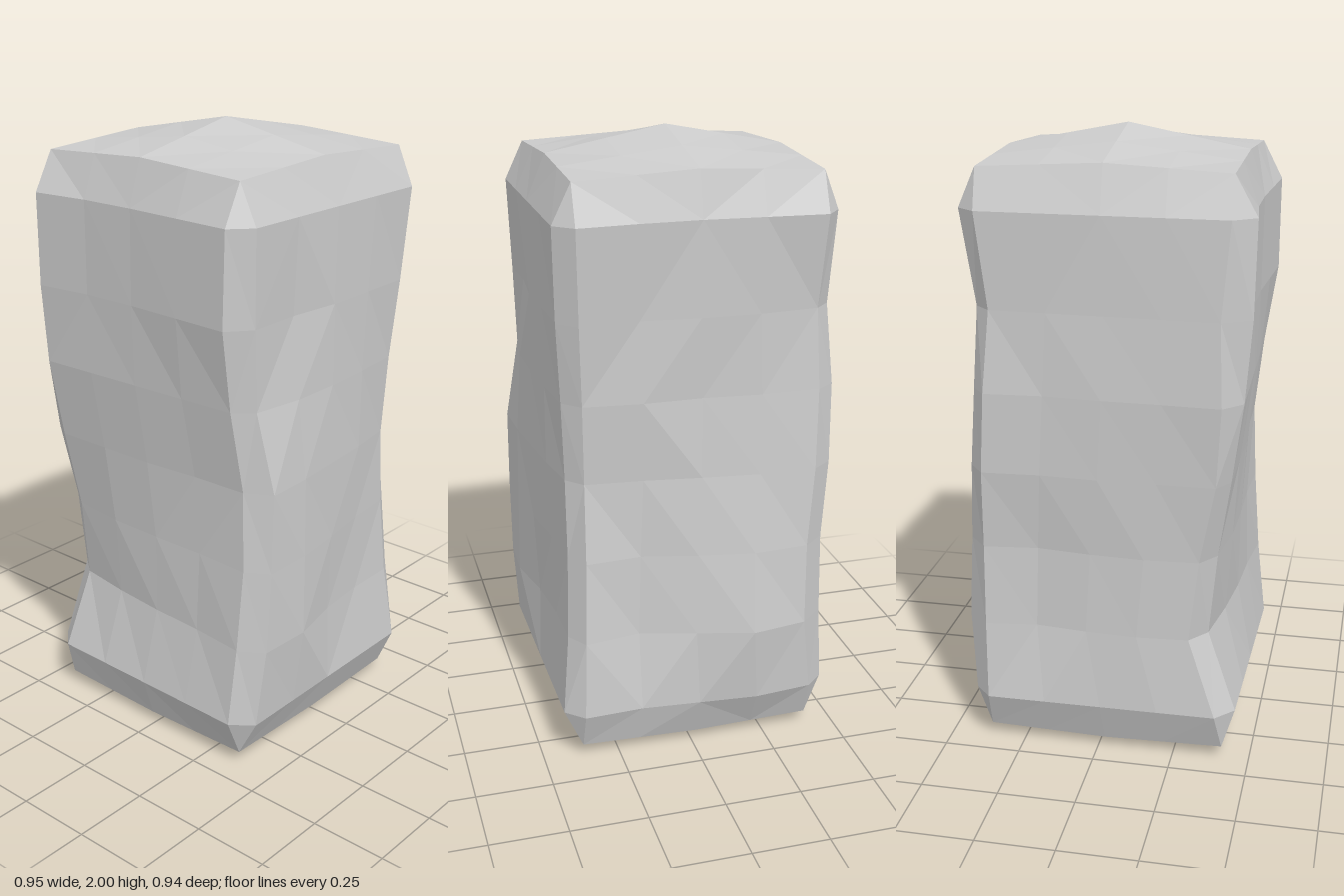
import * as THREE from 'three';

// Heights of the rings between the bottom and top chamfers
const levels = [0.17, 0.43, 0.7, 0.96, 1.22, 1.48, 1.78];

// Chamfered corners, one row per ring: [inner x, outer x, inner z, outer z]
const corners = {
  frontLeft: [
    [-.41, -.465, .37, .44], [-.385, -.435, .38, .46], [-.37, -.415, .39, .465], [-.36, -.405, .38, .465],
    [-.385, -.435, .355, .415], [-.40, -.475, .36, .42], [-.41, -.475, .37, .43]],
  frontRight: [
    [.36, .415, .37, .43], [.33, .40, .36, .405], [.305, .375, .35, .395], [.29, .345, .345, .395],
    [.305, .36, .35, .405], [.33, .385, .36, .42], [.36, .415, .37, .43]],
  backRight: [
    [.36, .415, -.40, -.46], [.365, .44, -.365, -.445], [.365, .425, -.37, -.44], [.36, .41, -.395, -.46],
    [.345, .39, -.405, -.465], [.325, .375, -.395, -.445], [.36, .42, -.405, -.455]],
  backLeft: [
    [-.39, -.45, -.39, -.455], [-.30, -.355, -.365, -.435], [-.33, -.38, -.365, -.435], [-.38, -.42, -.39, -.455],
    [-.395, -.455, -.41, -.475], [-.385, -.475, -.41, -.465], [-.41, -.48, -.405, -.46]],
};

// Outward bulge of the three inner columns of each face, ring by ring
const bulge = {
  front: [[0, 0, 0], [.02, -.005, -.01], [.015, .01, 0], [.01, .01, .01], [.025, .025, .015], [-.005, .01, .005], [0, 0, 0]],
  right: [[-.01, .005, .02], [-.04, 0, .04], [-.025, .005, .025], [0, .01, .015], [.01, 0, .01], [-.01, .01, .015], [-.015, -.02, -.01]],
  back: [[0, 0, 0], [-.02, 0, .01], [-.02, 0, .01], [-.01, 0, 0], [-.015, -.005, -.005], [0, 0, 0], [0, 0, 0]],
  left: [[0, 0, 0], [.01, .01, 0], [.015, .01, 0], [.005, .01, 0], [0, 0, 0], [-.02, -.02, -.01], [-.02, -.02, -.01]],
};

const N = 5; // points along each face
const capX = [-.41, .365], capZ = [-.405, .37];
const lerp = THREE.MathUtils.lerp;

// One ring, running front, right, back, left
function bodyRing(i) {
  const ring = [];
  const side = (name, from, to) => {
    const a = corners[from][i], b = corners[to][i];
    const alongX = name === 'front' || name === 'back';
    const sign = name === 'front' || name === 'right' ? 1 : -1;
    const [inner, outer] = alongX ? [0, 3] : [2, 1];
    const push = [0, ...bulge[name][i], 0];
    for (let k = 0; k < N; k++) {
      const t = k / (N - 1);
      const along = lerp(a[inner], b[inner], t);
      const out = lerp(a[outer], b[outer], t) + sign * push[k];
      ring.push(alongX ? [along, levels[i], out] : [out, levels[i], along]);
    }
  };
  side('front', 'frontLeft', 'frontRight');
  side('right', 'frontRight', 'backRight');
  side('back', 'backRight', 'backLeft');
  side('left', 'backLeft', 'frontLeft');
  return ring;
}

// Domed end surface, u and v in 0..1
function capPoint(u, v, top) {
  const fx = 1 - Math.abs(2 * u - 1), fz = 1 - Math.abs(2 * v - 1);
  const y = top ? 1.905 + .02 * (fx + fz) + .055 * fx * fz : .04 - .01 * (fx + fz) - .02 * fx * fz;
  return [lerp(...capX, u), y, lerp(...capZ, v)];
}

// Rim of an end, with the same point order as the body rings
function capRing(top) {
  const ring = [];
  const paths = [t => [t, 1], t => [1, 1 - t], t => [1 - t, 0], t => [0, t]];
  for (const path of paths) {
    for (let k = 0; k < N; k++) ring.push(capPoint(...path(k / (N - 1)), top));
  }
  return ring;
}

function stoneGeometry() {
  const pos = [];
  const tri = (a, b, c) => {
    const same = (p, q) => p.every((v, i) => Math.abs(v - q[i]) < 1e-6);
    if (!same(a, b) && !same(b, c) && !same(c, a)) pos.push(...a, ...b, ...c);
  };
  const dist = (p, q) => Math.hypot(p[0] - q[0], p[1] - q[1], p[2] - q[2]);
  // Split each quad along its shorter diagonal
  const quad = (a, b, c, d) => {
    if (dist(a, c) <= dist(b, d)) { tri(a, b, c); tri(a, c, d); }
    else { tri(a, b, d); tri(b, c, d); }
  };

  // Walls and chamfers
  const rings = [capRing(false), ...levels.map((_, i) => bodyRing(i)), capRing(true)];
  for (let i = 0; i < rings.length - 1; i++) {
    const lo = rings[i], hi = rings[i + 1];
    for (let k = 0; k < lo.length; k++) {
      const n = (k + 1) % lo.length;
      quad(lo[k], lo[n], hi[n], hi[k]);
    }
  }

  // Domed top and bottom
  const s = N - 1;
  for (const top of [true, false]) {
    for (let i = 0; i < s; i++) for (let j = 0; j < s; j++) {
      const p = (a, b) => capPoint((i + a) / s, (j + b) / s, top);
      const c = [p(0, 0), p(0, 1), p(1, 1), p(1, 0)];
      if (!top) c.reverse();
      quad(...c);
    }
  }
  const geo = new THREE.BufferGeometry();
  geo.setAttribute('position', new THREE.Float32BufferAttribute(pos, 3));
  geo.computeVertexNormals();
  return geo;
}

export function createModel() {
  const group = new THREE.Group();
  group.name = 'stonePillar';
  const stone = new THREE.Mesh(
    stoneGeometry(),
    new THREE.MeshStandardMaterial({ color: 0xcccccc, flatShading: true })
  );
  stone.name = 'stoneBlock';
  group.add(stone);
  return group;
}
